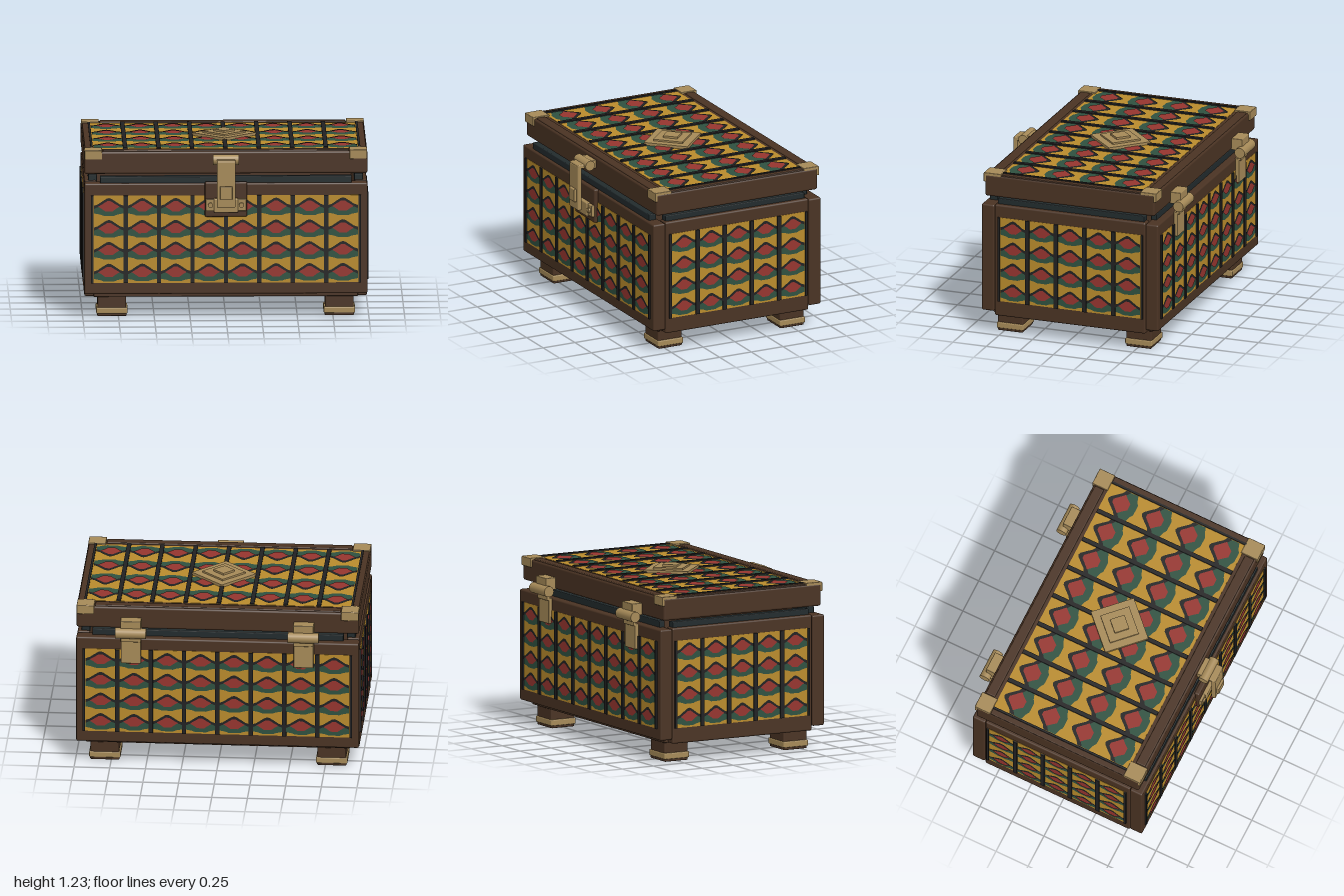
import * as THREE from 'three';
import { mergeGeometries } from 'three/addons/utils/BufferGeometryUtils.js';
import { RoundedBoxGeometry } from 'three/addons/geometries/RoundedBoxGeometry.js';

const material = (name, color) => {
  const m = new THREE.MeshStandardMaterial({ color });
  m.name = name;
  return m;
};

export function createModel() {
  const wood = material('dark wood', 0x4a3323);
  const brass = material('aged brass', 0xa68a58);
  const gold = material('gold paint', 0xb98b2c);
  const red = material('red paint', 0x96352f);
  const green = material('green paint', 0x2f5140);
  const black = material('black paint', 0x212122);
  const liner = material('dark liner', 0x222b2d);

  const model = new THREE.Group();
  model.name = 'chest';
  const ZC = -0.025; // centre of the box in depth

  const add = (name, geometry, mat, parent = model) => {
    const mesh = new THREE.Mesh(geometry, mat);
    mesh.name = name;
    parent.add(mesh);
    return mesh;
  };
  // Box given by its limits on each axis, with softened edges
  const box = (name, mat, [x0, x1], [y0, y1], [z0, z1], r = 0.006, parent = model) => {
    const s = [x1 - x0, y1 - y0, z1 - z0];
    const g = r ? new RoundedBoxGeometry(...s, 2, Math.min(r, Math.min(...s) * 0.45)) : new THREE.BoxGeometry(...s);
    return add(name, g.translate((x0 + x1) / 2, (y0 + y1) / 2, (z0 + z1) / 2), mat, parent);
  };
  const barrel = (name, x, y, z, r, length) => {
    const g = new THREE.CylinderGeometry(r, r, length, 20).rotateZ(Math.PI / 2);
    return add(name, g.translate(x, y, z), brass);
  };

  // One painted cell, in fractions of its width and height from the centre
  const motif = [
    ['green hills', green, [[-0.5, 0], [-0.25, 0.1], [0.25, 0.1], [0.5, 0], [0.5, -0.31], [0.3, -0.36], [0.18, -0.42], [-0.18, -0.42], [-0.3, -0.36], [-0.5, -0.31]]],
    ['black arches', black, [[-0.5, 0.04], [-0.37, 0.1], [-0.22, 0.24], [-0.08, 0.36], [0, 0.39], [0.08, 0.36], [0.22, 0.24], [0.37, 0.1], [0.5, 0.04], [0.5, -0.1], [0.36, -0.02], [-0.36, -0.02], [-0.5, -0.1]]],
    ['red diamonds', red, [[-0.36, 0], [-0.2, 0.13], [-0.06, 0.25], [0.06, 0.25], [0.2, 0.13], [0.36, 0], [0.24, -0.1], [0.12, -0.22], [-0.12, -0.22], [-0.24, -0.1]]],
  ];

  // Painted panel facing +z: gold ground, rows of motifs and black dividers
  const paintedPanel = (name, cols, rows, w, h) => {
    const panel = new THREE.Group();
    panel.name = name;
    model.add(panel);
    const cw = w / cols, ch = h / rows;
    box('gold ground', gold, [-w / 2, w / 2], [-h / 2, h / 2], [-0.003, 0.002], 0, panel);
    motif.forEach(([label, mat, points], layer) => {
      const shape = new THREE.Shape(points.map(([u, v]) => new THREE.Vector2(u * (cw - 0.025), v * ch)));
      const cells = [];
      for (let i = 0; i < cols; i++) for (let j = 0; j < rows; j++) {
        cells.push(new THREE.ShapeGeometry(shape).translate((i + 0.5) * cw - w / 2, (j + 0.5) * ch - h / 2, 0.004 + layer * 0.002));
      }
      add(label, mergeGeometries(cells), mat, panel);
    });
    for (let i = 0; i <= cols; i++) {
      const x = i * cw - w / 2, t = i % cols ? 0.015 : 0.008;
      box('divider', black, [x - t, x + t], [-h / 2, h / 2], [-0.003, 0.012], 0, panel);
    }
    return panel;
  };

  // Body: floor, front and back walls, side walls
  box('floor', wood, [-0.925, 0.925], [0.14, 0.2], [-0.62, 0.57]);
  box('frontWall', wood, [-0.99, 0.99], [0.17, 0.955], [0.54, 0.635], 0.012);
  box('backWall', wood, [-0.99, 0.99], [0.17, 0.955], [-0.685, -0.59], 0.012);
  for (const s of [-1, 1]) {
    const xs = (a, b) => (s > 0 ? [a, b] : [-b, -a]);
    box('sideWall', wood, xs(0.9, 0.988), [0.14, 0.96], [-0.588, 0.538], 0.012);
    box('sideLiner', liner, xs(0.9, 0.96), [0.9, 1.0], [-0.57, 0.525]);

    // Feet with brass shoes
    for (const z of [0.455, -0.505]) {
      box('footBlock', wood, xs(0.695, 0.895), [0.04, 0.16], [z - 0.095, z + 0.095], 0.01);
      box('footShoe', brass, xs(0.685, 0.905), [0.018, 0.062], [z - 0.1, z + 0.1], 0.008);
      box('footSole', wood, xs(0.692, 0.898), [0, 0.025], [z - 0.093, z + 0.093], 0.008);
    }

    // Lid corner brackets: a top plate and an upright plate
    for (const [zIn, zOut] of [[0.49, 0.617], [-0.55, -0.667]]) {
      const d = Math.sign(zOut);
      box('cornerTop', brass, xs(0.865, 0.988), [1.165, 1.188], [Math.min(zIn, zOut), Math.max(zIn, zOut)], 0.004);
      box('cornerUpright', brass, xs(0.865, 0.988), [1.122, 1.187], d > 0 ? [0.6, 0.62] : [-0.67, -0.65], 0.004);
    }

    // Hinges at the back
    const hx = s * 0.605;
    box('hingeLeaf', brass, [hx - 0.07, hx + 0.07], [0.775, 0.955], [-0.712, -0.68], 0.005);
    box('hingeNeck', brass, [hx - 0.07, hx + 0.07], [0.94, 1.01], [-0.725, -0.7], 0.005);
    box('hingeBlock', brass, [hx - 0.072, hx + 0.072], [1.015, 1.1], [-0.735, -0.65], 0.005);
    barrel('hingeBarrel', hx, 1.01, -0.73, 0.038, 0.216);
  }
  box('frontLiner', liner, [-0.88, 0.88], [0.9, 1.0], [0.555, 0.615]);
  box('backLiner', liner, [-0.88, 0.88], [0.9, 1.0], [-0.632, -0.59]);

  // Lid with raised rails along its edges
  box('lid', wood, [-0.99, 0.99], [1.018, 1.176], [-0.658, 0.61], 0.015);
  box('frontRail', wood, [-0.86, 0.86], [1.16, 1.184], [0.525, 0.595], 0.008);
  box('backRail', wood, [-0.86, 0.86], [1.16, 1.184], [-0.645, -0.575], 0.008);
  for (const x of [-0.962, 0.962]) box('sideRail', wood, [x - 0.022, x + 0.022], [1.16, 1.182], [-0.55, 0.49], 0.006);

  // Painted panels on the four walls and the lid
  paintedPanel('frontPanel', 8, 4, 1.87, 0.62).position.set(0, 0.56, 0.635);
  const back = paintedPanel('backPanel', 8, 4, 1.87, 0.62);
  back.position.set(0, 0.56, -0.685);
  back.rotation.y = Math.PI;
  for (const s of [-1, 1]) {
    const side = paintedPanel('sidePanel', 5, 4, 1.07, 0.62);
    side.position.set(s * 0.988, 0.56, -0.03);
    side.rotation.y = s * Math.PI / 2;
  }
  const top = paintedPanel('lidPanel', 8, 4, 1.87, 1.05);
  top.position.set(0, 1.176, ZC);
  top.rotation.x = -Math.PI / 2;

  // Stepped diamond medallion
  [[0.225, 1.18, 1.2], [0.15, 1.2, 1.212], [0.075, 1.212, 1.226]].forEach(([r, y0, y1]) => {
    const g = new THREE.CylinderGeometry(r, r, y1 - y0, 4).toNonIndexed();
    g.computeVertexNormals();
    add('medallionTier', g.translate(0, (y0 + y1) / 2, -0.028), brass);
  });

  // Front latch: backplate, catch, hanging hasp and its barrel
  box('latchPlate', wood, [-0.148, 0.148], [0.72, 0.968], [0.625, 0.664], 0.012);
  for (const s of [-1, 1]) {
    const x = s * 0.108;
    box('catchEar', brass, [x - 0.035, x + 0.035], [0.765, 0.85], [0.655, 0.682], 0.006);
    const pin = new THREE.CylinderGeometry(0.018, 0.018, 0.02, 14).rotateX(Math.PI / 2);
    add('catchPin', pin.translate(x, 0.808, 0.685), brass);
  }
  box('catchBar', brass, [-0.085, 0.085], [0.755, 0.855], [0.655, 0.692], 0.008);
  box('hasp', brass, [-0.065, 0.065], [0.8, 1.125], [0.718, 0.75], 0.008);
  box('haspTop', brass, [-0.065, 0.065], [1.105, 1.135], [0.67, 0.748], 0.008);
  box('haspButton', brass, [-0.043, 0.043], [0.86, 0.953], [0.742, 0.768], 0.006);
  box('haspMount', brass, [-0.07, 0.07], [1.095, 1.155], [0.6, 0.65], 0.005);
  barrel('haspBarrel', 0, 1.127, 0.666, 0.036, 0.18);

  return model;
}
